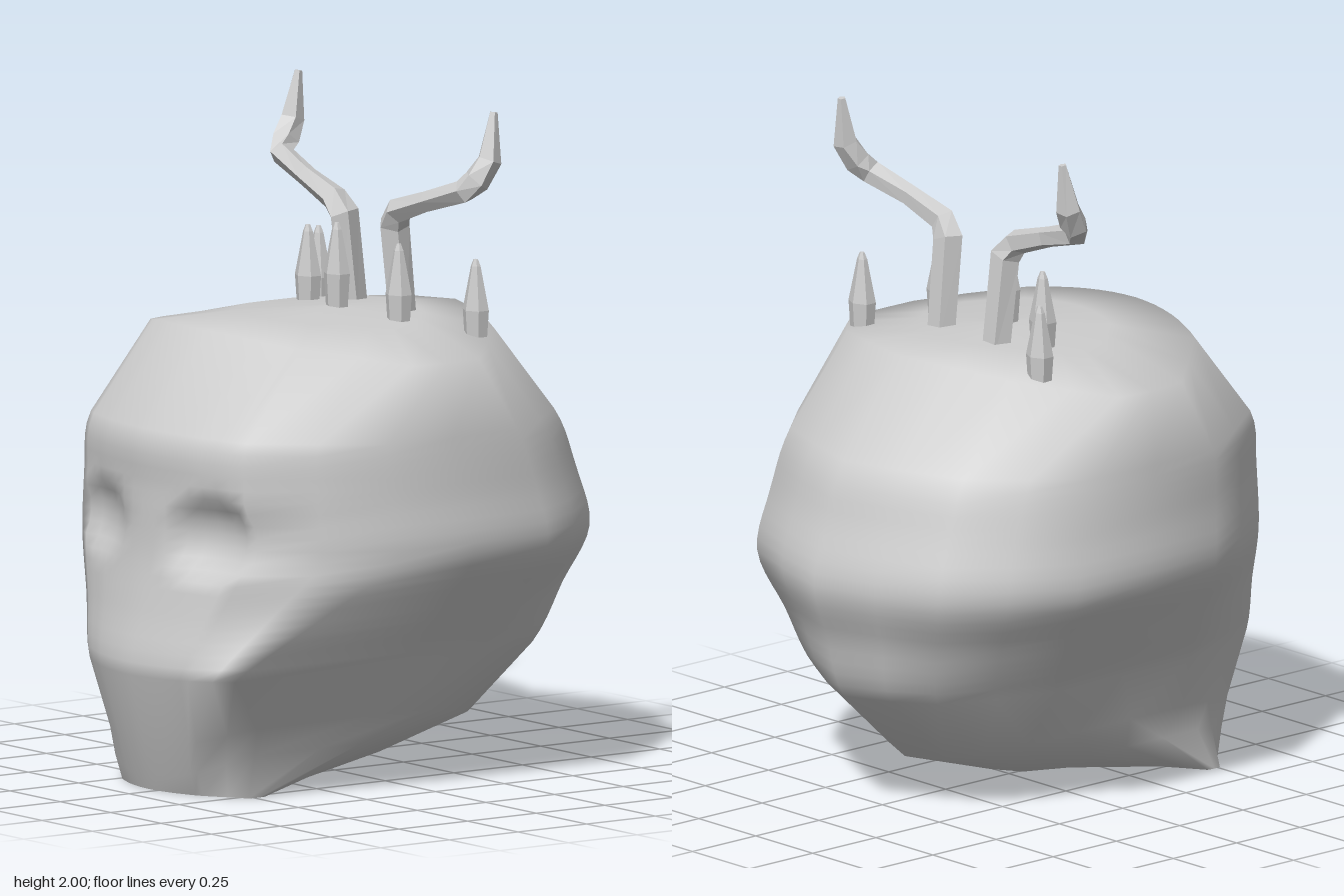
import * as THREE from 'three';

const V = (x, y, z) => new THREE.Vector3(x, y, z);

// Skin a list of equal-length closed rings; rings run anticlockwise about the loft direction
function loft(rings, flat, material, name) {
  const n = rings[0].length, index = [];
  for (let i = 0; i < rings.length - 1; i++) {
    for (let j = 0; j < n; j++) {
      const k = (j + 1) % n, a = i * n, b = a + n;
      index.push(a + j, a + k, b + k, a + j, b + k, b + j);
    }
  }
  let g = new THREE.BufferGeometry().setFromPoints(rings.flat());
  g.setIndex(index);
  if (flat) g = g.toNonIndexed();
  g.computeVertexNormals();
  const mesh = new THREE.Mesh(g, material);
  mesh.name = name;
  return mesh;
}

// Head levels: y, half width, back z, front z, drop at the sides, fullness of the left cheek, pinch of the side corners
const LEVELS = [
  [0, 0.32, 0.32, 0.65, 0, 0.3, 0.6], [0.04, 0.335, -0.1, 0.665, -0.09, 0.5, 0],
  [0.14, 0.37, -0.43, 0.7, -0.08, 0.7, 0], [0.36, 0.435, -0.65, 0.77, -0.02, 1, 0],
  [0.55, 0.54, -0.715, 0.735, 0, 0.5, 0], [0.72, 0.64, -0.77, 0.705, 0, 0, 0],
  [0.9, 0.63, -0.72, 0.7, 0, 0, 0], [1.08, 0.615, -0.65, 0.69, 0.01, 0, 0.05],
  [1.36, 0.59, -0.44, 0.5, 0.07, 0, 0.3], [1.375, 0.3, -0.25, 0.28, 0.015, 0, 0.2], [1.385, 0, 0, 0, 0, 0, 0],
];

// Half outline seen from above: fraction of width, fraction of depth
const HALF = [[0, 1], [0.08, 0.995], [0.16, 0.99], [0.24, 0.98], [0.32, 0.97], [0.4, 0.955], [0.48, 0.935],
  [0.56, 0.918], [0.63, 0.89], [0.83, 0.64], [1, 0.37], [1.01, 0], [1, -0.37], [0.83, -0.61], [0.62, -0.82], [0.32, -0.92]];
const OUTLINE = [...HALF, [0, -1], ...HALF.slice(1).reverse().map(([u, t]) => [-u, t])];

// Eye sockets: x, y, radius x, radius y, depth
const SOCKETS = [[0.28, 0.78, 0.14, 0.1, 0.07], [-0.24, 0.79, 0.12, 0.09, 0.045]];

function headRing([y, w, zb, zf, drop, cheek, pinch]) {
  return OUTLINE.map(([u, t]) => {
    const full = u > 0 && t > 0 ? THREE.MathUtils.lerp(t, Math.max(t, 1 - 0.12 * u * u), cheek) : t;
    const depth = full * (1 - pinch * u * u) * (zf - zb) / 2;
    const p = V(u * w, y - drop * u * u, (zf + zb) / 2 + depth);
    p.x -= 0.04 * Math.max(0, 1 - p.y / 0.3);
    if (t > 0.6 && y > 0.5 && y < 1.15) {
      for (const [cx, cy, rx, ry, deep] of SOCKETS) {
        const d = ((p.x - cx) / rx) ** 2 + ((p.y - cy) / ry) ** 2;
        if (d < 1.6) p.z -= deep * (1 - d / 1.6) ** 0.8;
      }
    }
    return p;
  });
}

// Add finer, rounded rows through the face
function headRows() {
  const rows = [];
  for (let i = 0; i < LEVELS.length - 1; i++) {
    const [a, b] = [LEVELS[i], LEVELS[i + 1]];
    const steps = a[0] >= 0.36 && b[0] <= 1.08 ? 5 : 1;
    for (let s = 0; s < steps; s++) {
      const f = s / steps;
      rows.push(a.map((v, k) => {
        if (s === 0) return v;
        const before = LEVELS[i - 1][k], after = LEVELS[i + 2][k];
        const m0 = (b[k] - before) / 2, m1 = (after - v) / 2;
        // Rounded curve for the outline, straight steps for height and the shape controls
        return k > 0 && k < 4
          ? v + m0 * f + (3 * (b[k] - v) - 2 * m0 - m1) * f * f + (2 * (v - b[k]) + m0 + m1) * f ** 3
          : v + (b[k] - v) * f;
      }));
    }
  }
  return [...rows, LEVELS.at(-1)];
}

// Faceted tapering branch along points [x, y, z, radius]
function branch(path, sides, material, name) {
  const pts = path.map(([x, y, z]) => V(x, y, z));
  const rings = pts.map((p, i) => {
    const into = p.clone().sub(pts[Math.max(i - 1, 0)]).normalize();
    const out = pts[Math.min(i + 1, pts.length - 1)].clone().sub(p).normalize();
    const t = into.add(out).normalize();
    const n = V(0, 0, 1).addScaledVector(t, -t.z).normalize();
    const b = t.clone().cross(n);
    return Array.from({ length: sides }, (_, j) => {
      const a = j / sides * Math.PI * 2, r = path[i][3];
      return p.clone().addScaledVector(n, r * Math.cos(a)).addScaledVector(b, r * Math.sin(a));
    });
  });
  rings.push(rings.at(-1).map(() => pts.at(-1).clone()));
  return loft(rings, true, material, name);
}

export function createModel() {
  const model = new THREE.Group();
  const bone = new THREE.MeshStandardMaterial({ color: 0xcccccc });
  bone.name = 'bone grey';

  // Head and flat chin underside
  const rows = headRows().map(headRing);
  model.add(loft(rows, false, bone, 'head'));
  model.add(loft([rows[0].map(() => V(-0.04, 0, 0.5)), rows[0]], true, bone, 'chinUnderside'));

  // Crown of five small spikes
  const crown = new THREE.Group();
  crown.name = 'crown';
  crown.position.x = 0.01;
  for (const [x, z, top] of [[0, 0, 1.63], [-0.225, -0.06, 1.59], [0.225, -0.06, 1.59], [-0.39, -0.22, 1.55], [0.39, -0.22, 1.55]]) {
    const spike = branch([[0, top - 0.28, 0, 0.036], [0, top - 0.15, 0, 0.046],
      [0, top - 0.02, 0, 0.017], [0, top, 0, 0.008]], 6, bone, 'spike');
    spike.scale.z = 0.8;
    spike.position.set(x, 0, z);
    crown.add(spike);
  }

  // Pair of bent antlers
  for (const s of [1, -1]) {
    crown.add(branch([[s * 0.12, 1.32, -0.15, 0.044], [s * 0.125, 1.63, -0.115, 0.047], [s * 0.16, 1.675, -0.105, 0.04],
      [s * 0.3, 1.72, -0.11, 0.032], [s * 0.45, 1.765, -0.13, 0.037], [s * 0.475, 1.8, -0.16, 0.042],
      [s * 0.49, 1.86, -0.195, 0.038], [s * 0.485, 2, -0.215, 0.012]], 5, bone, s > 0 ? 'leftAntler' : 'rightAntler'));
  }
  model.add(crown);
  return model;
}
